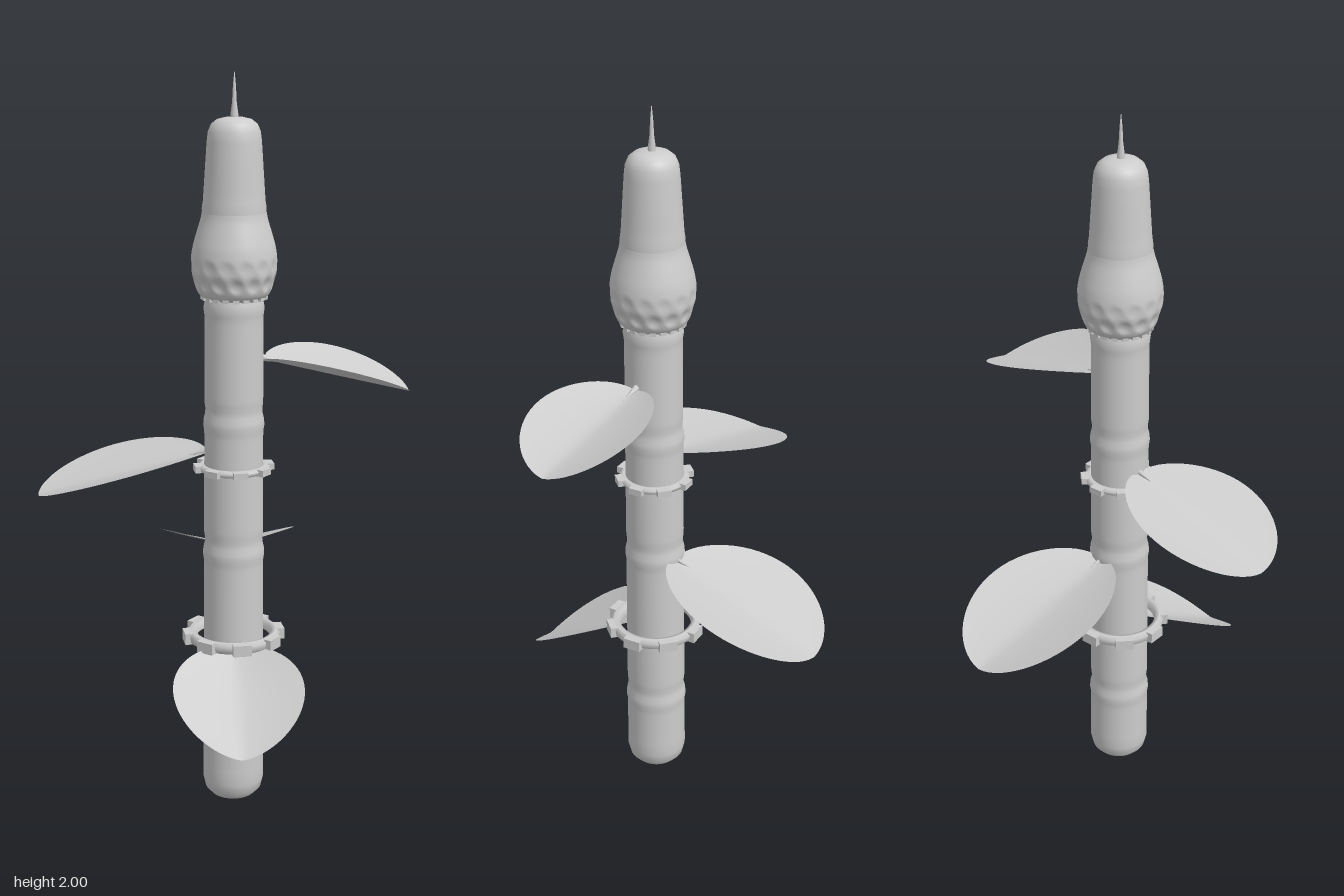
import * as THREE from 'three';
import { mergeVertices } from 'three/addons/utils/BufferGeometryUtils.js';

const grey = new THREE.MeshStandardMaterial({ color: 0xcccccc, side: THREE.DoubleSide });
grey.name = 'light grey';

const v2 = (pts) => pts.map(([r, y]) => new THREE.Vector2(r, y));

function add(parent, name, geometry) {
  const mesh = new THREE.Mesh(geometry, grey);
  mesh.name = name;
  parent.add(mesh);
  return mesh;
}

// Joined lathe with smooth normals across the seam
function smooth(geometry) {
  geometry.deleteAttribute('uv');
  geometry.deleteAttribute('normal');
  const g = mergeVertices(geometry, 1e-5);
  g.computeVertexNormals();
  return g;
}

// Stem sections with soft swollen nodes
function stemGeometry() {
  const pts = [[0, 0.003], [0.035, 0.004], [0.06, 0.012], [0.077, 0.03], [0.084, 0.06]];
  const nodes = [0.24, 0.72, 1.08, 1.39];
  for (let y = 0.1; y < 1.43; y += 0.015) {
    let r = 0.084 - 0.005 * y;
    for (const n of nodes) {
      r += 0.0035 * Math.exp(-(((y - n) / 0.014) ** 2));
      r -= 0.003 * Math.exp(-(((y - n - 0.035) / 0.014) ** 2));
    }
    pts.push([r, y]);
  }
  return smooth(new THREE.LatheGeometry(v2(pts), 40));
}

// Swollen collar with rows of shallow dimples on its lower half
function bulgeGeometry() {
  const curve = new THREE.SplineCurve(v2([
    [0.078, 1.415], [0.094, 1.43], [0.106, 1.463], [0.113, 1.505],
    [0.109, 1.545], [0.1, 1.58], [0.088, 1.62], [0.084, 1.64],
  ]));
  const g = smooth(new THREE.LatheGeometry(curve.getPoints(40), 112));
  const p = g.attributes.position;
  for (let i = 0; i < p.count; i++) {
    const x = p.getX(i), y = p.getY(i), z = p.getZ(i);
    const a = Math.atan2(z, x);
    let dent = 0;
    [1.505, 1.46].forEach((row, k) => {
      const u = a / (Math.PI * 2) * 14 + k * 0.5;
      const da = (u - Math.round(u)) / 0.42, dy = (y - row) / 0.02;
      dent += (k ? 0.007 : 0.004) * Math.max(0, 1 - da * da - dy * dy);
    });
    const s = 1 - dent / Math.hypot(x, z);
    p.setXYZ(i, x * s, y, z * s);
  }
  g.computeVertexNormals();
  return g;
}

// Leaf along +x: rounded outline, straight midrib, raised side edges
function leafGeometry({ r0, r1, y0, y1, width, lift }) {
  const n = 32, m = 16, pos = [], index = [];
  for (let i = 0; i <= n; i++) {
    const u = i / n, t = (1 - Math.cos(Math.PI * u)) / 2;
    const w = Math.sin(Math.PI * u) * (1 - 0.22 * (1 - t) ** 3);
    for (let j = 0; j <= m; j++) {
      const s = (j / m) * 2 - 1;
      const y = y0 + (y1 - y0) * t + lift * Math.abs(s) ** 1.35 * Math.sin(Math.PI * u) ** 1.2;
      pos.push(r0 + (r1 - r0) * t, y, s * w * width);
    }
  }
  for (let i = 0; i < n; i++) for (let j = 0; j < m; j++) {
    const a = i * (m + 1) + j, b = a + m + 1;
    index.push(a, a + 1, b, b, a + 1, b + 1);
  }
  const g = new THREE.BufferGeometry();
  g.setAttribute('position', new THREE.Float32BufferAttribute(pos, 3));
  g.setIndex(index);
  g.computeVertexNormals();
  return g;
}

// Toothed ring around the stem
function addRing(parent, name, y, outer, height) {
  const ring = new THREE.Group();
  ring.name = name;
  ring.position.y = y;
  const r = outer - 0.018, h = height / 2;
  const band = v2([[r - 0.02, -h * 0.5], [r - 0.006, -h], [r + 0.004, -h * 0.6],
    [r + 0.006, h * 0.4], [r - 0.004, h], [r - 0.018, h * 0.7], [r - 0.02, -h * 0.5]]);
  add(ring, 'ringBand', new THREE.LatheGeometry(band, 48));
  const count = 8;
  for (let i = 0; i < count; i++) {
    const a = (38 / 180) * Math.PI + (i / count) * Math.PI * 2;
    const tooth = add(ring, 'ringTooth', new THREE.BoxGeometry(0.026, height * 0.9, outer * 0.36));
    tooth.position.set(Math.cos(a) * (outer - 0.014), 0, Math.sin(a) * (outer - 0.014));
    tooth.rotation.y = -a;
  }
  parent.add(ring);
}

export function createModel() {
  const model = new THREE.Group();
  model.name = 'plantStalk';
  const plant = new THREE.Group();
  plant.name = 'plant';
  plant.position.set(0.027, 0, 0.066);
  model.add(plant);

  add(plant, 'stem', stemGeometry());
  add(plant, 'bulge', bulgeGeometry());

  // Tapered head above the bulge
  add(plant, 'head', smooth(new THREE.LatheGeometry(v2([
    [0.084, 1.6], [0.083, 1.63], [0.084, 1.65], [0.081, 1.67], [0.079, 1.7], [0.075, 1.76],
    [0.071, 1.82], [0.068, 1.845], [0.06, 1.864], [0.045, 1.876], [0.025, 1.881], [0, 1.882],
  ]), 40)));

  // Thin spike at the top
  add(plant, 'spike', smooth(new THREE.LatheGeometry(v2([
    [0.011, 1.87], [0.01, 1.89], [0.006, 1.92], [0.004, 1.96], [0, 2],
  ]), 12)));

  // Small notched rim under the bulge
  for (let i = 0; i < 20; i++) {
    const a = (i / 20) * Math.PI * 2;
    const notch = add(plant, 'bulgeRimTooth', new THREE.BoxGeometry(0.012, 0.014, 0.016));
    notch.position.set(Math.cos(a) * 0.082, 1.421, Math.sin(a) * 0.082);
    notch.rotation.y = -a;
  }

  addRing(plant, 'lowerRing', 0.48, 0.139, 0.034);
  addRing(plant, 'upperRing', 0.957, 0.108, 0.02);

  // Four leaves, each with a short pointed stalk
  const leaves = [
    { name: 'leftLeaf', turn: 0, r0: 0.08, r1: 0.468, y0: 1.25, y1: 1.16, width: 0.167, lift: 0.048 },
    { name: 'rightLeaf', turn: Math.PI, r0: 0.072, r1: 0.524, y0: 1.0, y1: 0.888, width: 0.189, lift: 0.036 },
    { name: 'frontLeaf', turn: -Math.PI / 2, r0: 0.066, r1: 0.396, y0: 0.46, y1: 0.284, width: 0.178, lift: 0.052 },
    { name: 'backLeaf', turn: Math.PI / 2, r0: 0.066, r1: 0.531, y0: 0.714, y1: 0.574, width: 0.199, lift: 0.046 },
  ];
  for (const spec of leaves) {
    const leaf = new THREE.Group();
    leaf.name = spec.name;
    leaf.rotation.y = spec.turn;
    add(leaf, 'leafBlade', leafGeometry(spec));
    const stalk = add(leaf, 'leafStalk', new THREE.ConeGeometry(0.01, 0.06, 10));
    stalk.rotation.z = -Math.PI / 2 - 0.25;
    stalk.position.set(spec.r0 + 0.022, spec.y0 - 0.002, 0);
    plant.add(leaf);
  }
  return model;
}
